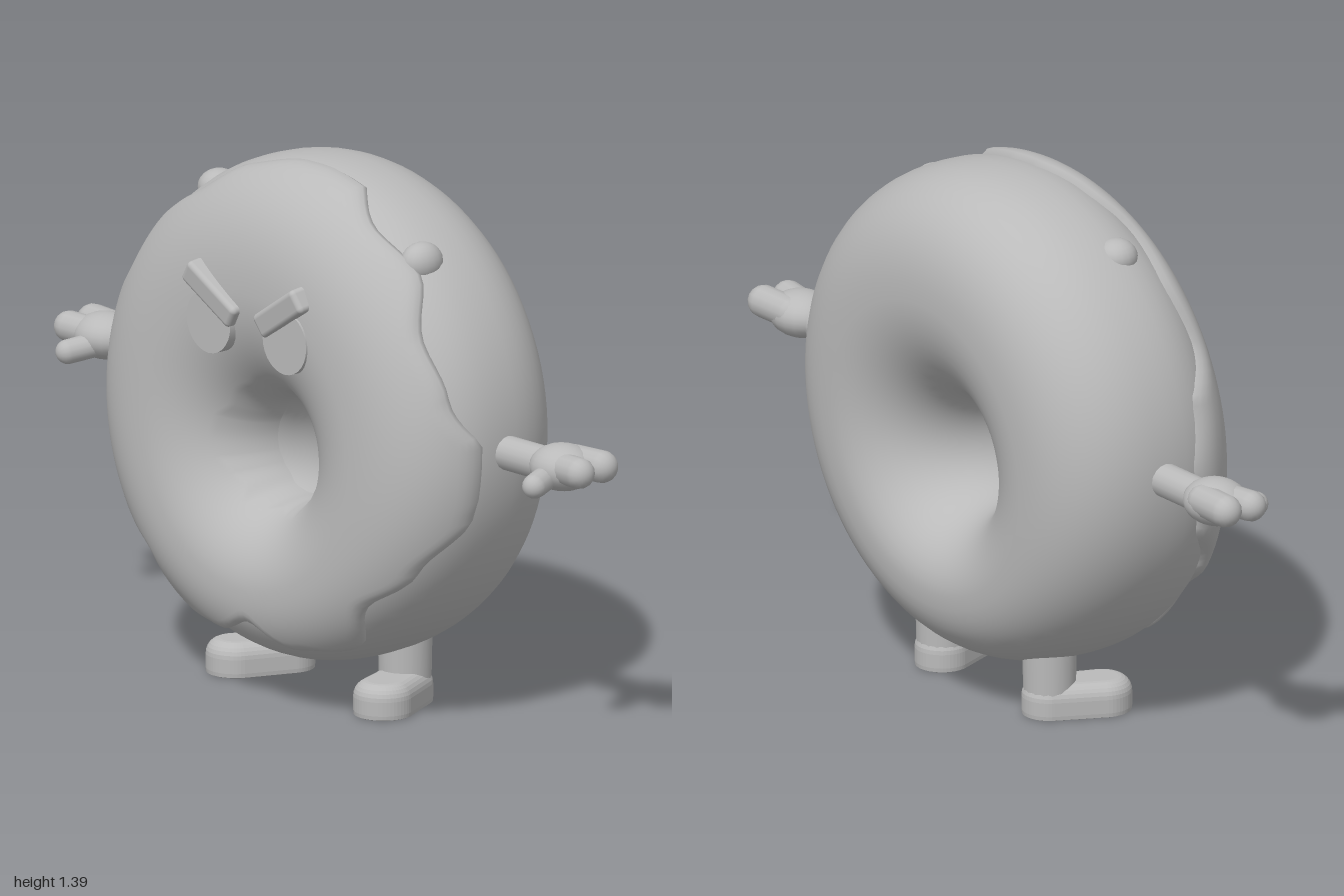
import * as THREE from 'three';
import { ParametricGeometry } from 'three/addons/geometries/ParametricGeometry.js';
import { RoundedBoxGeometry } from 'three/addons/geometries/RoundedBoxGeometry.js';

const clay = new THREE.MeshStandardMaterial({ color: 0xbababa });
clay.name = 'plain grey';

function add(parent, name, geometry, pos = [0, 0, 0], scale = [1, 1, 1]) {
  const mesh = new THREE.Mesh(geometry, clay);
  mesh.name = name;
  mesh.position.set(...pos);
  mesh.scale.set(...scale);
  parent.add(mesh);
  return mesh;
}

// Ring surface: a = angle round the ring, t = angle round the tube
// (0 outer rim, PI/2 front, PI hole). The hole sits below the centre,
// and the tube is squarer outside than towards the hole.
const MID = 0.386, HALF = 0.259, CENTRE = 0.742;
function ringPoint(a, t, offset, target) {
  const power = Math.cos(t) > 0 ? 0.86 : 1;
  const round = (v) => Math.sign(v) * Math.pow(Math.abs(v), power);
  const c = round(Math.cos(t)), s = round(Math.sin(t));
  const r = MID + (HALF + offset) * c;
  const y = CENTRE - 0.05 * (1 - c) + r * Math.sin(a);
  const z = ((s > 0 ? 0.258 : 0.29) + offset) * s - 0.03 * (y - CENTRE);
  target.set(r * Math.cos(a) * (1 + 0.009 * (1 + c)), y, z);
}

// Radius reached by the icing every 15 degrees, from the model's left side
const drips = [0.645, 0.615, 0.60, 0.63, 0.62, 0.643, 0.64, 0.63, 0.605, 0.615, 0.60, 0.635,
  0.64, 0.635, 0.60, 0.55, 0.61, 0.56, 0.48, 0.57, 0.61, 0.55, 0.60, 0.64];
function icingEdge(a) {
  const n = drips.length;
  const f = (a / (Math.PI * 2)) * n;
  const i = Math.floor(f), k = f - i, w = k * k * (3 - 2 * k);
  const r = drips[((i % n) + n) % n] * (1 - w) + drips[(((i + 1) % n) + n) % n] * w;
  return Math.acos(Math.min(0.985, (r - MID) / HALF));
}

// Capsule limb between two points
function limb(parent, name, from, to, radius) {
  const a = new THREE.Vector3(...from), b = new THREE.Vector3(...to);
  const d = b.clone().sub(a);
  const mesh = add(parent, name, new THREE.CapsuleGeometry(radius, d.length(), 6, 14));
  mesh.position.copy(a).add(b).multiplyScalar(0.5);
  mesh.quaternion.setFromUnitVectors(new THREE.Vector3(0, 1, 0), d.normalize());
}

function buildArm(side) {
  const arm = new THREE.Group();
  arm.name = side > 0 ? 'leftArm' : 'rightArm';
  const x = (v) => v * side;
  const sleeve = add(arm, 'forearm', new THREE.CylinderGeometry(0.044, 0.044, 0.26, 16),
    [x(0.7), 0.74, -0.022]);
  sleeve.rotation.z = Math.PI / 2;
  add(arm, 'palm', new THREE.SphereGeometry(1, 20, 14), [x(0.86), 0.745, -0.022], [0.09, 0.06, 0.08]);
  limb(arm, 'finger', [x(0.86), 0.755, -0.06], [x(0.958), 0.757, -0.066], 0.042);
  limb(arm, 'finger', [x(0.86), 0.75, 0.0], [x(0.96), 0.754, 0.012], 0.04);
  limb(arm, 'thumb', [x(0.85), 0.73, 0.01], [x(0.879), 0.718, 0.09], 0.032);
  return arm;
}

// Foot: flat sole, rounded outline and domed top
function footGeometry() {
  const sole = new THREE.Shape();
  sole.absarc(0, 0, 0.034, 0, Math.PI, false);
  sole.absarc(0, -0.137, 0.04, Math.PI, Math.PI * 2, false);
  sole.closePath();
  const geometry = new THREE.ExtrudeGeometry(sole, {
    depth: 0.036, bevelEnabled: true, bevelThickness: 0.04, bevelSize: 0.036, bevelSegments: 6, curveSegments: 12,
  });
  geometry.rotateX(-Math.PI / 2);
  const p = geometry.attributes.position;
  for (let i = 0; i < p.count; i++) p.setY(i, Math.max(p.getY(i), -0.012));
  geometry.computeVertexNormals();
  return geometry;
}

function buildLeg(side) {
  const leg = new THREE.Group();
  leg.name = side > 0 ? 'leftLeg' : 'rightLeg';
  add(leg, 'shin', new THREE.CylinderGeometry(0.07, 0.066, 0.2, 18), [side * 0.222, 0.13, -0.062]);
  const foot = add(leg, 'foot', footGeometry(), [side * 0.222, 0.012, -0.063]);
  foot.rotation.y = side * 0.42;
  return leg;
}

function buildFace(side) {
  const face = new THREE.Group();
  face.name = side > 0 ? 'leftEyeAndBrow' : 'rightEyeAndBrow';
  const eye = add(face, 'eye', new THREE.CylinderGeometry(0.082, 0.082, 0.1, 28), [side * 0.143, 0.977, 0.226]);
  eye.rotation.x = Math.PI / 2;
  // Brow slopes down to the middle, its face tipped slightly downwards
  const brow = add(face, 'brow', new RoundedBoxGeometry(0.196, 0.066, 0.076, 3, 0.014),
    [side * 0.13, 1.055, 0.256]);
  brow.rotation.set(0.12, 0, side * 0.57);
  return face;
}

export function createModel() {
  const model = new THREE.Group();
  model.name = 'ringCharacter';

  add(model, 'dough', new ParametricGeometry((u, v, p) =>
    ringPoint(u * Math.PI * 2, v * Math.PI * 2, 0, p), 96, 48));

  // Icing shell, tucked into the dough at the dripping edge and in the hole
  add(model, 'icing', new ParametricGeometry((u, v, p) => {
    const a = u * Math.PI * 2, e = icingEdge(a);
    const rise = Math.min(1, v / 0.09), fall = Math.min(1, (1 - v) / 0.3);
    const lift = -0.006 + 0.027 * Math.sqrt(Math.max(0, rise * (2 - rise))) * fall;
    ringPoint(a, e + (Math.PI - e) * v, lift, p);
  }, 144, 40));

  // Lumps of icing on the shoulders
  add(model, 'icingLump', new THREE.SphereGeometry(0.05, 18, 12), [-0.365, 1.242, 0.04], [1.1, 0.95, 1.1]);
  add(model, 'icingLump', new THREE.SphereGeometry(0.05, 18, 12), [0.42, 1.205, 0.06], [0.95, 1.05, 1.2]);

  for (const side of [1, -1]) {
    model.add(buildFace(side), buildArm(side), buildLeg(side));
  }
  return model;
}
